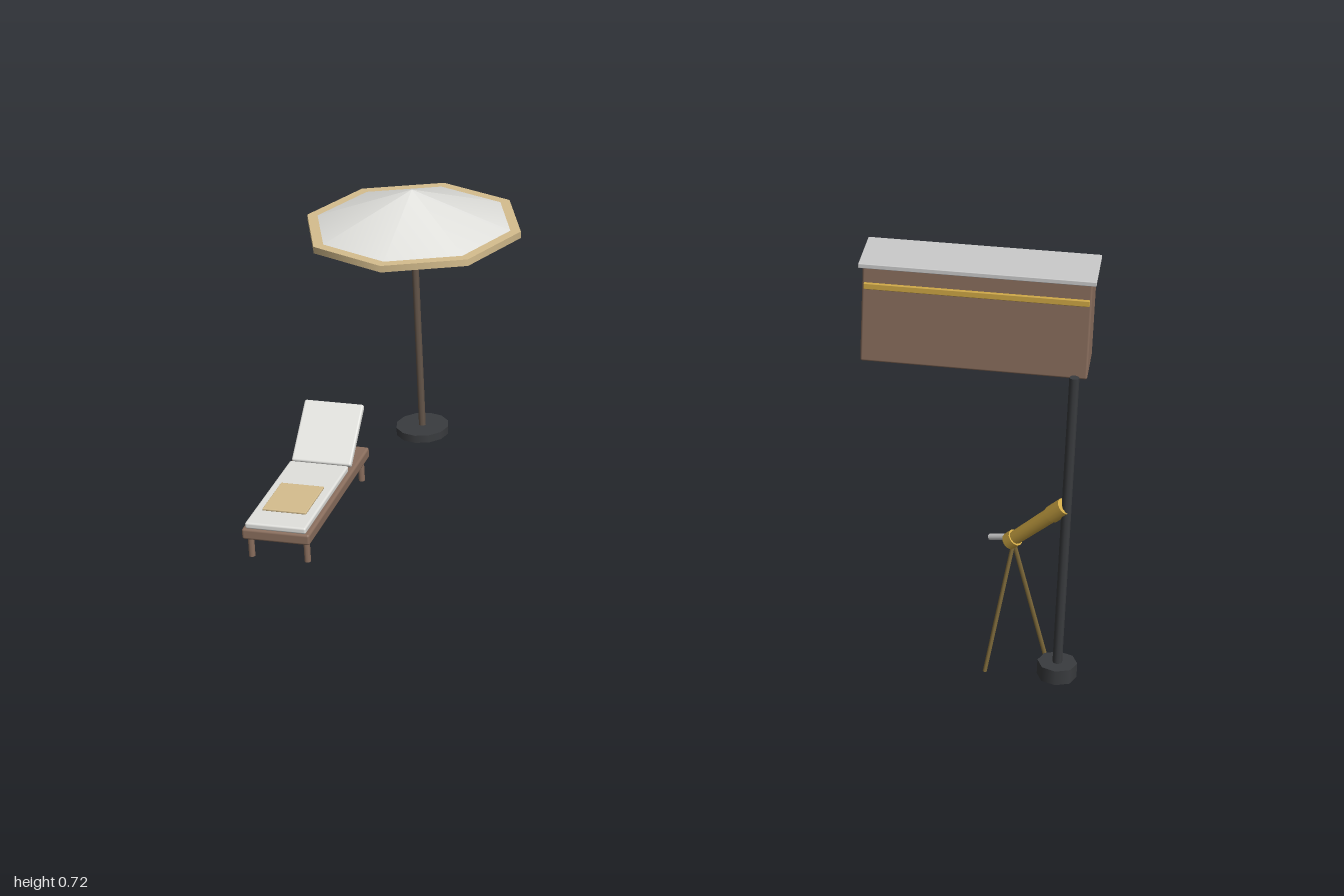
import * as THREE from 'three';
import { RoundedBoxGeometry } from 'three/addons/geometries/RoundedBoxGeometry.js';

const mat = (color) => new THREE.MeshStandardMaterial({ color });
const wood = mat(0x8b6f5e), poleWood = mat(0x65564a), dark = mat(0x3a3c3f), gold = mat(0xcfa845);
const cloth = mat(0xe2e2de), sand = mat(0xd6be8e), stone = mat(0xd2d2ce), brass = mat(0x7a6638);

function add(parent, name, geometry, material, x = 0, y = 0, z = 0) {
  const mesh = new THREE.Mesh(geometry, material);
  mesh.name = name;
  mesh.position.set(x, y, z);
  parent.add(mesh);
  return mesh;
}
const box = (w, h, d, r = 0.003) => new RoundedBoxGeometry(w, h, d, 2, r);
const cyl = (r, h, n = 8, rBottom = r) => new THREE.CylinderGeometry(r, rBottom, h, n);

// Round bar between two points
function rod(parent, name, a, b, r, material, n = 8, rStart = r) {
  const dir = b.clone().sub(a);
  const mesh = add(parent, name, cyl(r, dir.length(), n, rStart), material);
  mesh.position.copy(a).addScaledVector(dir, 0.5);
  mesh.quaternion.setFromUnitVectors(new THREE.Vector3(0, 1, 0), dir.normalize());
  return mesh;
}

function group(parent, name, x, z) {
  const g = new THREE.Group();
  g.name = name;
  g.position.set(x, 0, z);
  parent.add(g);
  return g;
}

function addParasol(root) {
  const g = group(root, 'parasol', -0.727, -0.048);
  add(g, 'parasolBase', cyl(0.067, 0.02, 12), dark, 0, 0.01);
  add(g, 'parasolPole', cyl(0.009, 0.56, 8), poleWood, 0, 0.29);
  add(g, 'canopyRim', cyl(0.273, 0.017, 8), sand, 0, 0.564);
  add(g, 'canopy', new THREE.ConeGeometry(0.273, 0.098, 8, 1, true), cloth, 0, 0.612);
}

function addLounger(root) {
  const g = group(root, 'lounger', -0.865, 0.445);
  add(g, 'loungerFrame', box(0.165, 0.028, 0.463, 0.006), wood, 0, 0.066);
  for (const x of [-0.068, 0.068])
    for (const z of [-0.205, 0.21]) add(g, 'loungerLeg', cyl(0.008, 0.055), wood, x, 0.0275, z);
  add(g, 'mattress', box(0.148, 0.016, 0.325, 0.005), cloth, 0, 0.088, 0.067);
  add(g, 'towel', box(0.107, 0.006, 0.135, 0.002), sand, 0, 0.098, 0.096);
  // Raised backrest leaning away from the seat
  const back = add(g, 'backrest', box(0.15, 0.016, 0.162, 0.005), cloth, 0, 0.138, -0.172);
  back.rotation.x = 0.72;
}

function addBar(root) {
  const g = group(root, 'barCounter', 0.602, -0.767);
  add(g, 'barBody', box(0.605, 0.278, 0.163, 0.006), wood, 0, 0.139);
  add(g, 'barTop', box(0.625, 0.013, 0.188, 0.002), stone, 0, 0.281);
  add(g, 'barTrim', box(0.595, 0.017, 0.012, 0.002), gold, 0, 0.222, 0.084);
}

function addLampPost(root) {
  const g = group(root, 'post', 0.957, 0.815);
  add(g, 'postBase', cyl(0.043, 0.034, 8), dark, 0, 0.017);
  add(g, 'postShaft', cyl(0.0105, 0.69, 8), dark, 0, 0.37);
}

function addTelescope(root) {
  const g = group(root, 'telescope', 0.845, 0.757);
  const v = (x, y, z) => new THREE.Vector3(x, y, z);
  // Tripod
  for (let i = 0; i < 3; i++) {
    const t = (i * Math.PI * 2) / 3;
    rod(g, 'tripodLeg', v(Math.cos(t) * 0.085, 0, Math.sin(t) * 0.085), v(0, 0.285, 0), 0.005, brass, 6);
  }
  // Tube with collar, objective hood and eyepiece
  const a = v(-0.008, 0.285, -0.004), b = v(0.108, 0.413, 0.056);
  const at = (t) => a.clone().lerp(b, t);
  rod(g, 'telescopeTube', a, b, 0.017, gold, 12, 0.015);
  rod(g, 'objectiveHood', at(0.76), at(1), 0.019, gold, 12);
  rod(g, 'tubeCollar', at(-0.02), at(0.1), 0.019, gold, 12);
  rod(g, 'eyepiece', v(-0.054, 0.276, -0.029), v(0, 0.298, 0), 0.007, stone, 8);
}

export function createModel() {
  const root = new THREE.Group();
  root.name = 'poolsideSet';
  addParasol(root);
  addLounger(root);
  addBar(root);
  addLampPost(root);
  addTelescope(root);
  return root;
}
